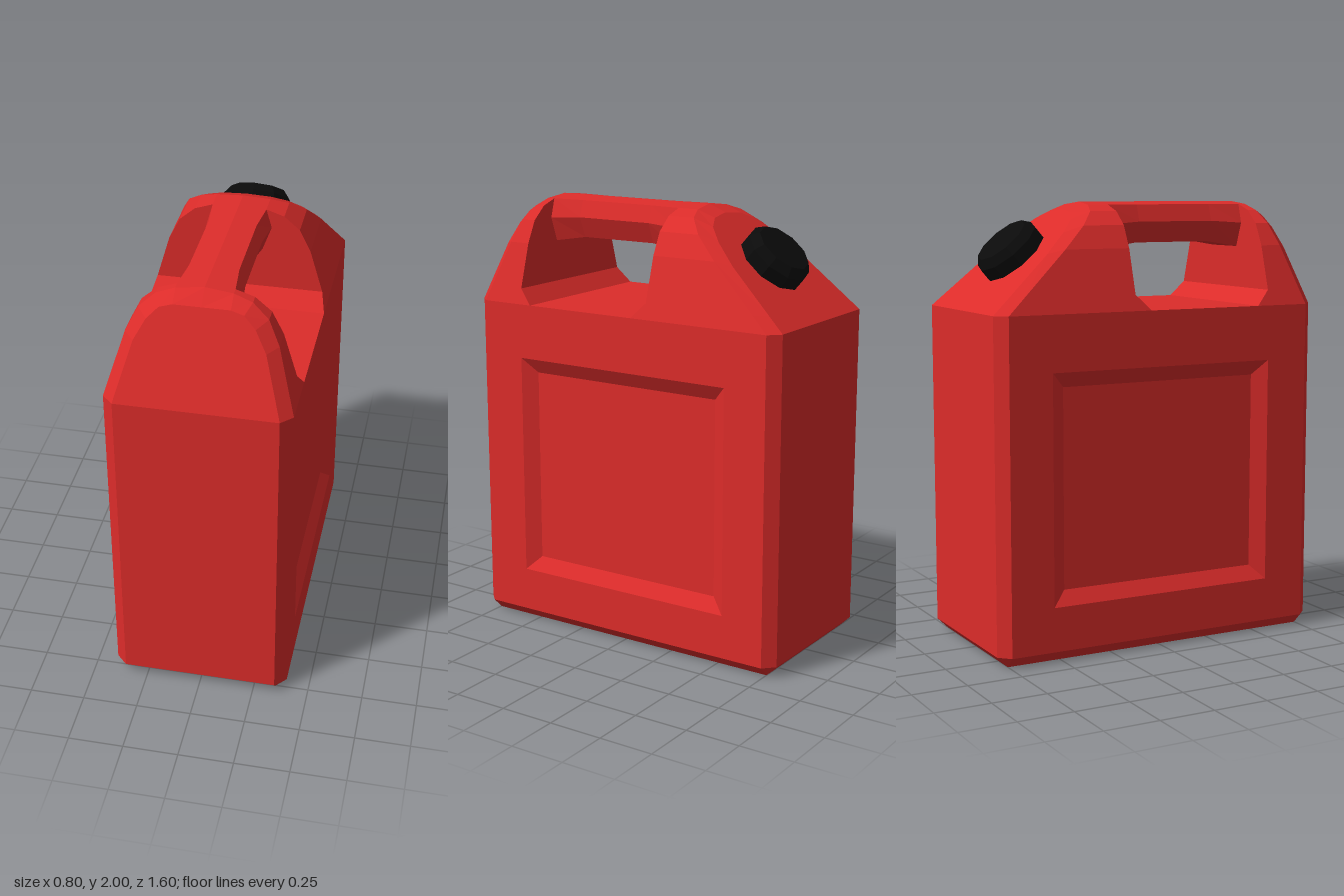
import * as THREE from 'three';

const red = new THREE.MeshStandardMaterial({ color: 0xdc2c2a, flatShading: true });
const black = new THREE.MeshStandardMaterial({ color: 0x0b0b0b, flatShading: true });

// Collects flat faces; points are [x, y, z], counter-clockwise from outside
class Faces {
  constructor() { this.pos = []; }
  tri(a, b, c) {
    const [A, B, C] = [a, b, c].map(p => new THREE.Vector3(...p));
    if (B.sub(A).cross(C.sub(A)).length() > 1e-8) this.pos.push(...a, ...b, ...c);
  }
  quad(a, b, c, d) { this.tri(a, b, c); this.tri(a, c, d); }
  loft(r0, r1, closed = true, skip = []) {
    const n = r0.length;
    for (let i = 0; i < (closed ? n : n - 1); i++) {
      const j = (i + 1) % n;
      if (!skip.includes(i)) this.quad(r0[i], r0[j], r1[j], r1[i]);
    }
  }
  // Fills an arch with horizontal strips between its two legs
  fillArch(r) {
    const n = r.length;
    for (let i = 0; i < (n - 1) / 2; i++) this.quad(r[n - 1 - i], r[i], r[i + 1], r[n - 2 - i]);
  }
  mesh(name) {
    const g = new THREE.BufferGeometry();
    g.setAttribute('position', new THREE.Float32BufferAttribute(this.pos, 3));
    g.computeVertexNormals();
    const m = new THREE.Mesh(g, red);
    m.name = name;
    return m;
  }
}

const SHOULDER = 1.53;

// Lower tank: chamfered box, open at the two sides for the panels
function makeTank() {
  const f = new Faces();
  const plan = [[-.35, .8], [.35, .8], [.4, .75], [.4, -.75], [.35, -.8], [-.35, -.8], [-.4, -.75], [-.4, .75]];
  const ring = y => plan.map(([x, z]) => [x, y, z]);
  const bottom = plan.map(([x, z]) => [Math.sign(x) * .35, 0, Math.sign(z) * .75]);
  const low = ring(.05), top = ring(SHOULDER);
  f.loft(bottom, low);
  f.loft(low, top, true, [2, 6]);
  for (let i = 1; i < 7; i++) {
    f.tri(top[0], top[i], top[i + 1]);
    f.tri(bottom[0], bottom[i + 1], bottom[i]);
  }
  return f.mesh('tank');
}

// Side wall with a bevelled recess
function makeSidePanel(name) {
  const f = new Faces();
  const rect = (x, z, y0, y1) => [[x, y0, z], [x, y0, -z], [x, y1, -z], [x, y1, z]];
  const wall = rect(.4, .75, .05, SHOULDER);
  const rim = rect(.4, .547, .25, 1.28);
  const floor = rect(.36, .48, .315, 1.212);
  f.loft(wall, rim);
  f.loft(rim, floor);
  f.quad(...floor);
  return f.mesh(name);
}

// Half profiles of the rounded top, from shoulder to crown
const archOuter = [[.4, 1.53], [.379, 1.6], [.32, 1.8], [.27, 1.9], [.2, 1.96], [.12, 1.987], [0, 2]];
const archFront = [[.35, 1.53], [.33, 1.6], [.275, 1.79], [.225, 1.88], [.175, 1.93], [.12, 1.945], [0, 1.945]];
const archBack = [[.35, 1.53], [.332, 1.6], [.285, 1.78], [.235, 1.87], [.18, 1.925], [.11, 1.955], [0, 1.967]];

// Mirrors a half profile into a full arch, with z given by height
function arch(half, zAt) {
  const right = half.map(([x, y]) => [x, y, zAt(y)]);
  const left = right.slice(0, -1).reverse().map(([x, y, z]) => [-x, y, z]);
  return [...right, ...left];
}

// Block at one end of the handle opening: opening wall, body, chamfer, sloped end
function makeShoulder(name, cutZ, footZ, dir, inner, chamferSlope, faceSlope) {
  const f = new Faces();
  const rings = [
    arch(archOuter, y => (y < 1.59 ? footZ : cutZ)),
    arch(archOuter, y => dir * (.75 - (y - SHOULDER) * chamferSlope)),
    arch(inner, y => dir * (.8 - (y - SHOULDER) * faceSlope)),
  ];
  if (dir < 0) rings.forEach(r => r.reverse());
  f.loft(rings[0], rings[1], false);
  f.loft(rings[1], rings[2], false);
  f.fillArch(rings[2]);
  f.fillArch([...rings[0]].reverse());
  return f.mesh(name);
}

// Carrying grip, slightly slimmer in the middle
function makeHandle() {
  const f = new Faces();
  const section = (z, w, low, mid) => {
    const half = [[w - .015, low], [w + .025, mid], [w, 1.987]];
    return [...half, [0, 2], ...half.reverse().map(([x, y]) => [-x, y])].map(([x, y]) => [x, y, z]);
  };
  const rings = [
    section(-.135, .12, 1.79, 1.9),
    section(.02, .105, 1.815, 1.91),
    section(.4, .105, 1.815, 1.91),
    section(.555, .12, 1.79, 1.9),
  ];
  for (let i = 0; i < 3; i++) f.loft(rings[i], rings[i + 1]);
  return f.mesh('handle');
}

// Ten-sided screw cap on the rear slope
function makeCap() {
  const profile = [[0, -.01], [.16, -.01], [.16, .06], [.13, .098], [0, .098]].map(p => new THREE.Vector2(...p));
  const cap = new THREE.Mesh(new THREE.LatheGeometry(profile, 10), black);
  cap.name = 'cap';
  cap.position.set(0, 1.76, -.54);
  cap.rotation.x = -.72;
  return cap;
}

export function createModel() {
  const model = new THREE.Group();
  model.name = 'fuelCan';
  const leftPanel = makeSidePanel('leftPanel');
  const rightPanel = makeSidePanel('rightPanel');
  rightPanel.rotation.y = Math.PI;
  model.add(
    makeTank(), leftPanel, rightPanel,
    makeShoulder('frontShoulder', .555, .49, 1, archFront, .351, .357),
    makeShoulder('backShoulder', -.135, -.065, -1, archBack, 1.128, 1.136),
    makeHandle(), makeCap(),
  );
  return model;
}
